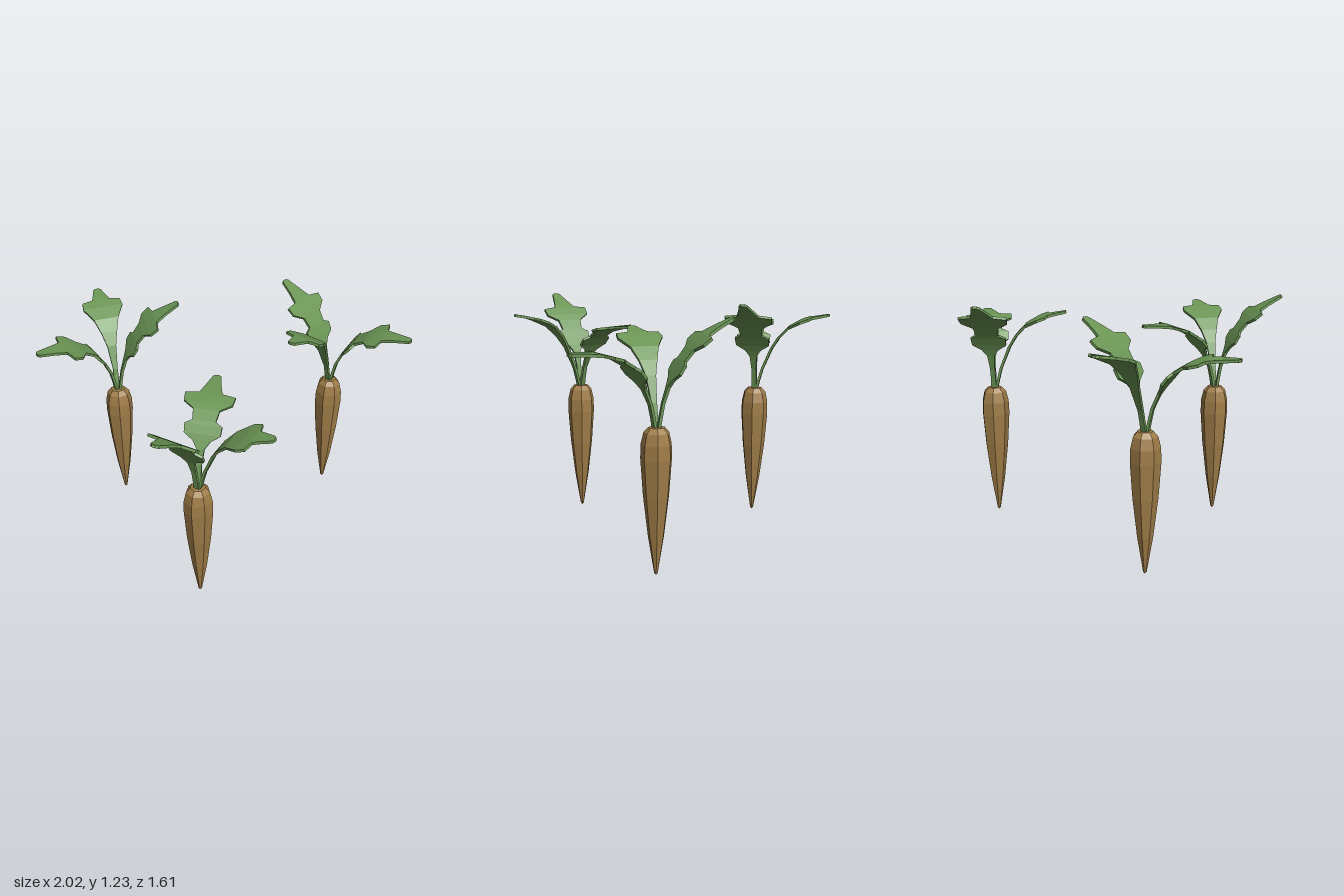
import * as THREE from 'three';

const rootMat = new THREE.MeshStandardMaterial({ color: 0xa07d48, flatShading: true });
rootMat.name = 'rootBrown';
const leafMat = new THREE.MeshStandardMaterial({ color: 0x6a9454, flatShading: true });
leafMat.name = 'leafGreen';

// Half outlines: [half width, fraction along the leaf]
const lobed = [[0.016, 0], [0.013, 0.1], [0.013, 0.2], [0.02, 0.32], [0.045, 0.38], [0.093, 0.43], [0.096, 0.5],
  [0.06, 0.53], [0.068, 0.62], [0.125, 0.68], [0.13, 0.755], [0.06, 0.775], [0.042, 0.86], [0.022, 0.985], [0.01, 1]];
const simple = [[0.016, 0], [0.013, 0.1], [0.013, 0.2], [0.025, 0.4], [0.045, 0.52], [0.07, 0.64],
  [0.113, 0.76], [0.108, 0.83], [0.05, 0.85], [0.038, 0.9], [0.022, 0.985], [0.01, 1]];

// Each leaf: turn in degrees, outline and centre line as [distance outwards, height]
const leaves = [
  { turn: 0, outline: lobed, path: [[0, 0.71], [0.03, 0.85], [0.07, 0.93], [0.145, 1.03], [0.27, 1.085], [0.445, 1.1]] },
  { turn: 103, outline: simple, path: [[0, 0.71], [0.04, 0.86], [0.09, 0.97], [0.165, 1.07], [0.27, 1.125], [0.4, 1.155]] },
  { turn: 197, outline: lobed, path: [[0, 0.71], [0.03, 0.87], [0.075, 0.98], [0.14, 1.08], [0.22, 1.155], [0.36, 1.23]] },
];

// Thin plate swept along the centre line, one four-cornered section per outline point
function leafGeometry({ outline, path }) {
  const curve = new THREE.CatmullRomCurve3(path.map(([r, y]) => new THREE.Vector3(r, y, 0)));
  const pos = [], idx = [], half = 0.007;
  for (const [w, u] of outline) {
    const p = curve.getPointAt(u), t = curve.getTangentAt(u);
    for (const [side, face] of [[1, 1], [-1, 1], [-1, -1], [1, -1]]) {
      pos.push(p.x - t.y * half * face, p.y + t.x * half * face, w * side);
    }
  }
  const last = (outline.length - 1) * 4;
  for (let i = 0; i < last; i += 4) {
    for (let k = 0; k < 4; k++) {
      const a = i + k, b = i + (k + 1) % 4;
      idx.push(a, a + 4, b, a + 4, b + 4, b);
    }
  }
  idx.push(0, 1, 2, 0, 2, 3, last, last + 2, last + 1, last, last + 3, last + 2);
  const g = new THREE.BufferGeometry();
  g.setAttribute('position', new THREE.Float32BufferAttribute(pos, 3));
  g.setIndex(idx);
  const flat = g.toNonIndexed();
  flat.computeVertexNormals();
  return flat;
}

export function createModel() {
  const model = new THREE.Group();
  model.name = 'carrots';

  // Tapered root with a rounded shoulder
  const profile = [[0, 0.005], [0.009, 0.015], [0.04, 0.2], [0.064, 0.4], [0.077, 0.58],
    [0.075, 0.65], [0.062, 0.705], [0.04, 0.73], [0, 0.732]];
  const rootGeo = new THREE.LatheGeometry(profile.map(([r, y]) => new THREE.Vector2(r, y)), 7);
  const leafGeos = leaves.map(leafGeometry);

  // Three carrots: x, z and the direction of the first leaf in degrees
  for (const [x, z, turn] of [[-0.62, -0.41, 149], [0.6, -0.5, 27], [-0.15, 0.48, -77]]) {
    const carrot = new THREE.Group();
    carrot.name = 'carrot';
    carrot.position.set(x, 0, z);
    carrot.rotation.y = -THREE.MathUtils.degToRad(turn);

    const root = new THREE.Mesh(rootGeo, rootMat);
    root.name = 'root';
    carrot.add(root);

    leaves.forEach((leaf, i) => {
      const mesh = new THREE.Mesh(leafGeos[i], leafMat);
      mesh.name = 'leaf';
      mesh.rotation.y = -THREE.MathUtils.degToRad(leaf.turn);
      // Start each stalk slightly off the centre of the crown
      mesh.translateX(0.008);
      carrot.add(mesh);
    });
    model.add(carrot);
  }
  return model;
}
